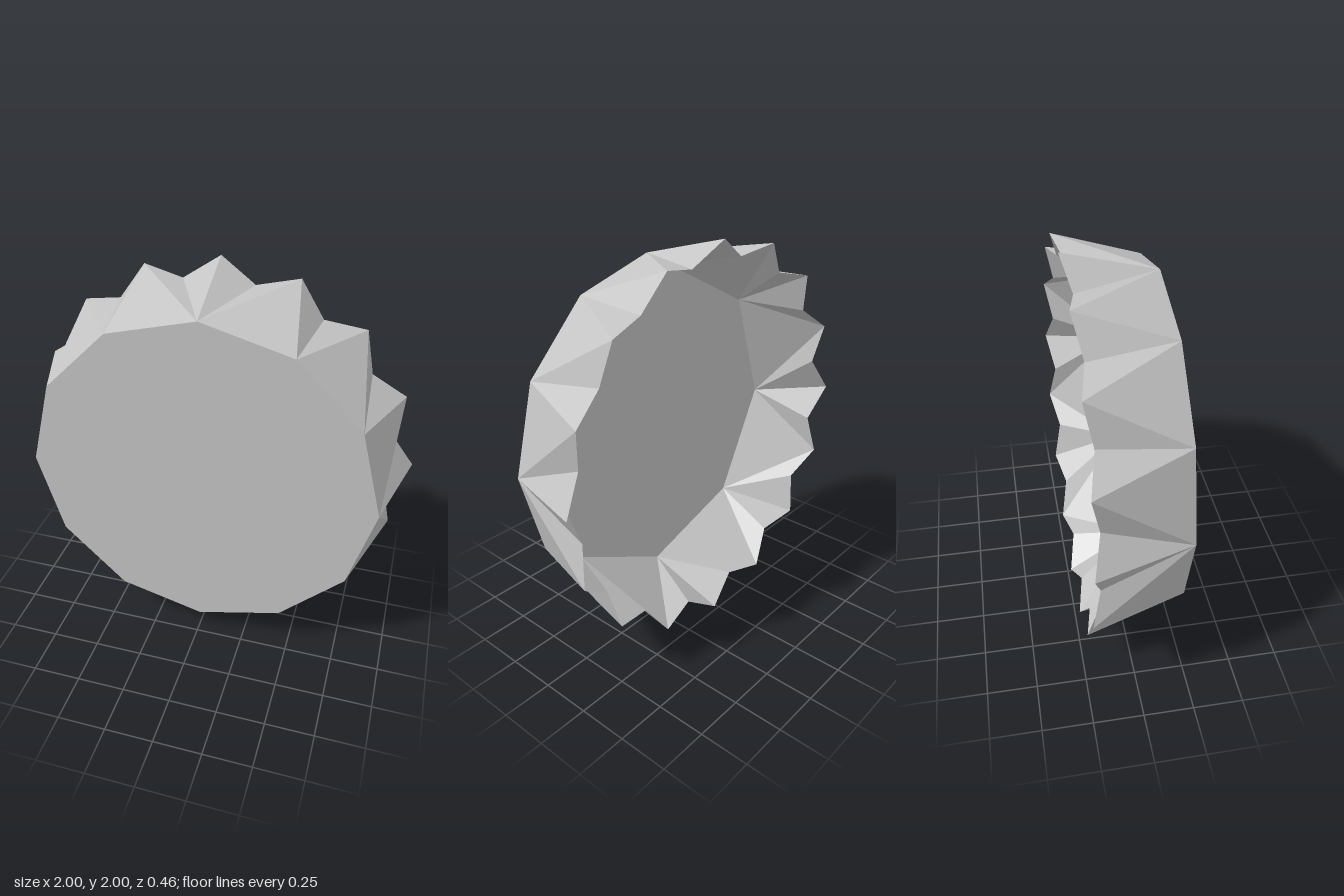
import * as THREE from 'three';

// Points of a regular ring facing +z, counter-clockwise seen from the front
function ring(count, startDeg, cx, pointAt) {
  return Array.from({ length: count }, (_, i) => {
    const a = THREE.MathUtils.degToRad(startDeg + (i * 360) / count);
    const { r, z } = pointAt(i);
    return new THREE.Vector3(cx + r * Math.cos(a), 1 + r * Math.sin(a), z);
  });
}

// Flat-faced geometry from a list of corner triples, optionally turned inside out
function facets(triangles, flip) {
  const points = triangles.flatMap(([a, b, c]) => (flip ? [a, c, b] : [a, b, c]));
  const geometry = new THREE.BufferGeometry().setFromPoints(points);
  geometry.computeVertexNormals();
  return geometry;
}

// Fills a ring with a flat disc
function disc(points) {
  return points.slice(2).map((p, i) => [points[0], points[i + 1], p]);
}

// Joins a coarse ring to the toothed rim; steps = rim edges fanned from each ring point
function skirt(points, rim, steps) {
  const at = (list, i) => list[(i + list.length) % list.length];
  const triangles = [];
  let k = -2;
  points.forEach((p, j) => {
    for (let n = 0; n < steps[j % steps.length]; n++, k++) {
      triangles.push([p, at(rim, k), at(rim, k + 1)]);
    }
    triangles.push([p, at(rim, k), at(points, j + 1)]);
  });
  return triangles;
}

export function createModel() {
  const group = new THREE.Group();
  group.name = 'crimpedCap';

  const metal = new THREE.MeshStandardMaterial({ color: 0xc4c4c4 });
  metal.name = 'grey metal';

  const front = ring(12, 0, 0.01, () => ({ r: 0.875, z: 0.23 }));
  const floor = ring(8, 5, 0, () => ({ r: 0.812, z: 0.14 }));
  // Sixteen pointed teeth with valleys between them
  const rim = ring(32, 0.6, 0, (i) => (i % 2 ? { r: 0.905, z: -0.19 } : { r: 1, z: -0.23 }));

  const add = (name, triangles, flip = false) => {
    const mesh = new THREE.Mesh(facets(triangles, flip), metal);
    mesh.name = name;
    group.add(mesh);
  };

  add('frontDisc', disc(front));
  add('outerSkirt', skirt(front, rim, [4, 2, 2]));
  // Hollow inside, open to the back
  add('innerFloor', disc(floor), true);
  add('innerSkirt', skirt(floor, rim, [4]), true);

  return group;
}
